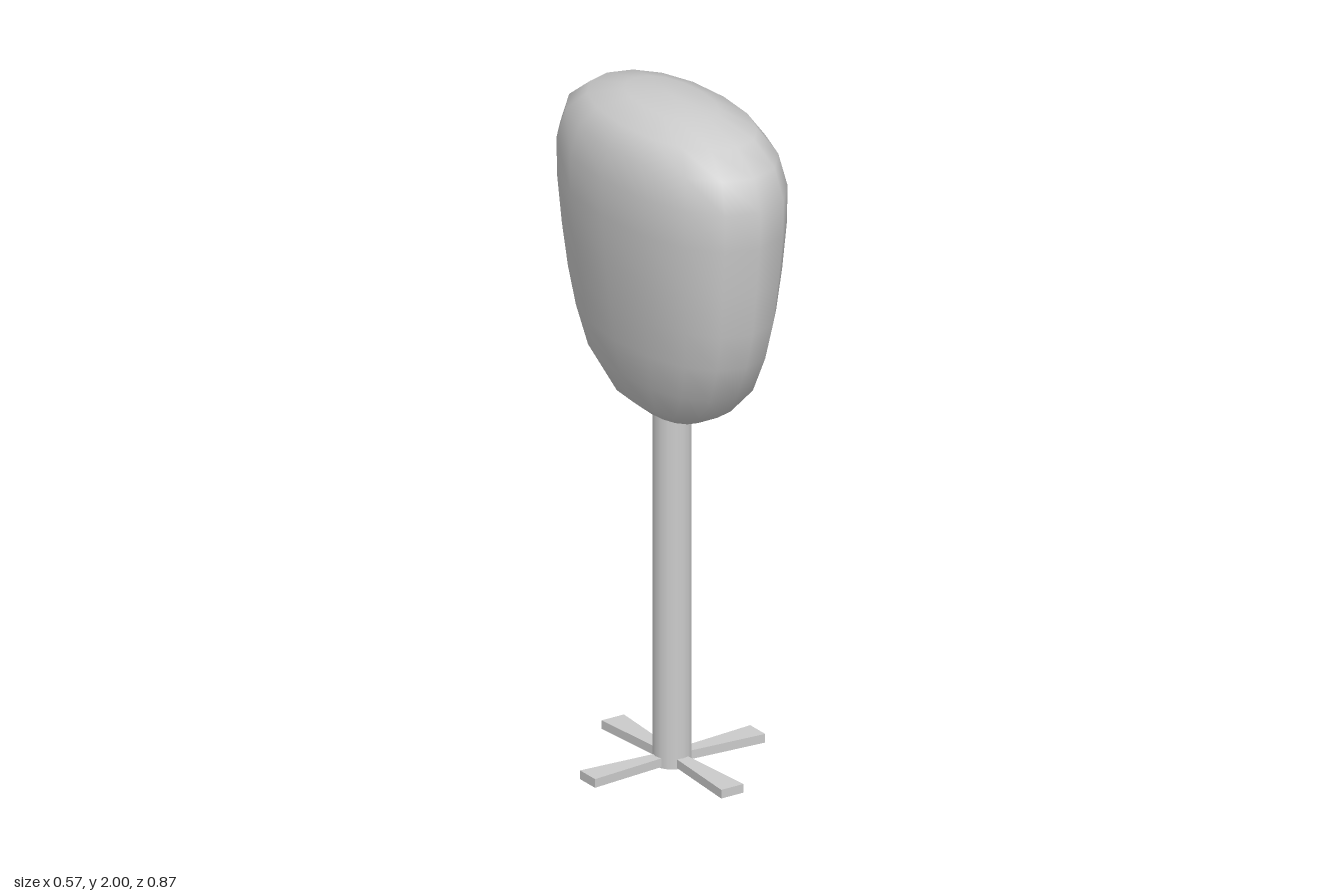
import * as THREE from 'three';
import { mergeVertices } from 'three/addons/utils/BufferGeometryUtils.js';

const grey = () => new THREE.MeshStandardMaterial({ color: 0xcccccc });

// Crown cross-sections from top to bottom: [y, half width in x, half depth in z]
const SECTIONS = [
  [2.0, 0, 0], [1.988, 0.095, 0.178], [1.952, 0.172, 0.32], [1.89, 0.212, 0.403],
  [1.8, 0.232, 0.436], [1.69, 0.232, 0.432], [1.55, 0.222, 0.415], [1.42, 0.206, 0.397],
  [1.31, 0.191, 0.366], [1.2, 0.17, 0.315], [1.11, 0.13, 0.223], [1.06, 0.07, 0.127],
  [1.043, 0, 0],
];
const SIDES = 16;

// Sphere grid reshaped ring by ring into rounded, flattened sections
function crownGeometry() {
  const geo = new THREE.SphereGeometry(1, SIDES, SECTIONS.length - 1);
  const pos = geo.attributes.position;
  const bulge = (v) => Math.abs(v) < 1e-6 ? 0 : Math.sign(v) * Math.abs(v) ** 0.91;
  for (let i = 0; i < pos.count; i++) {
    const ring = Math.floor(i / (SIDES + 1));
    const a = ((i % (SIDES + 1)) % SIDES) / SIDES * Math.PI * 2;
    const [y, w, d] = SECTIONS[ring];
    pos.setXYZ(i, -bulge(Math.cos(a)) * w, y, bulge(Math.sin(a)) * d);
  }
  geo.deleteAttribute('uv');
  geo.deleteAttribute('normal');
  const merged = mergeVertices(geo, 1e-4);
  merged.computeVertexNormals();
  return merged;
}

// Flat foot that widens towards its outer end
function footGeometry(length) {
  const shape = new THREE.Shape([
    new THREE.Vector2(0, -0.015), new THREE.Vector2(length, -0.037),
    new THREE.Vector2(length, 0.037), new THREE.Vector2(0, 0.015),
  ]);
  const geo = new THREE.ExtrudeGeometry(shape, { depth: 0.026, bevelEnabled: false });
  return geo.rotateX(-Math.PI / 2).translate(0, 0.004, 0);
}

export function createModel() {
  const model = new THREE.Group();
  model.name = 'tree';

  const crown = new THREE.Mesh(crownGeometry(), grey());
  crown.name = 'crown';
  model.add(crown);

  // Trunk runs a little way into the crown
  const trunk = new THREE.Mesh(new THREE.CylinderGeometry(0.055, 0.055, 1.1, 16), grey());
  trunk.name = 'trunk';
  trunk.position.y = 0.55;
  model.add(trunk);

  // Four feet in a cross
  const feet = new THREE.Group();
  feet.name = 'feet';
  for (let i = 0; i < 4; i++) {
    const foot = new THREE.Mesh(footGeometry(i % 2 ? 0.294 : 0.283), grey());
    foot.name = 'foot';
    foot.rotation.y = i * Math.PI / 2;
    feet.add(foot);
  }
  feet.position.z = 0.003;
  model.add(feet);

  return model;
}
